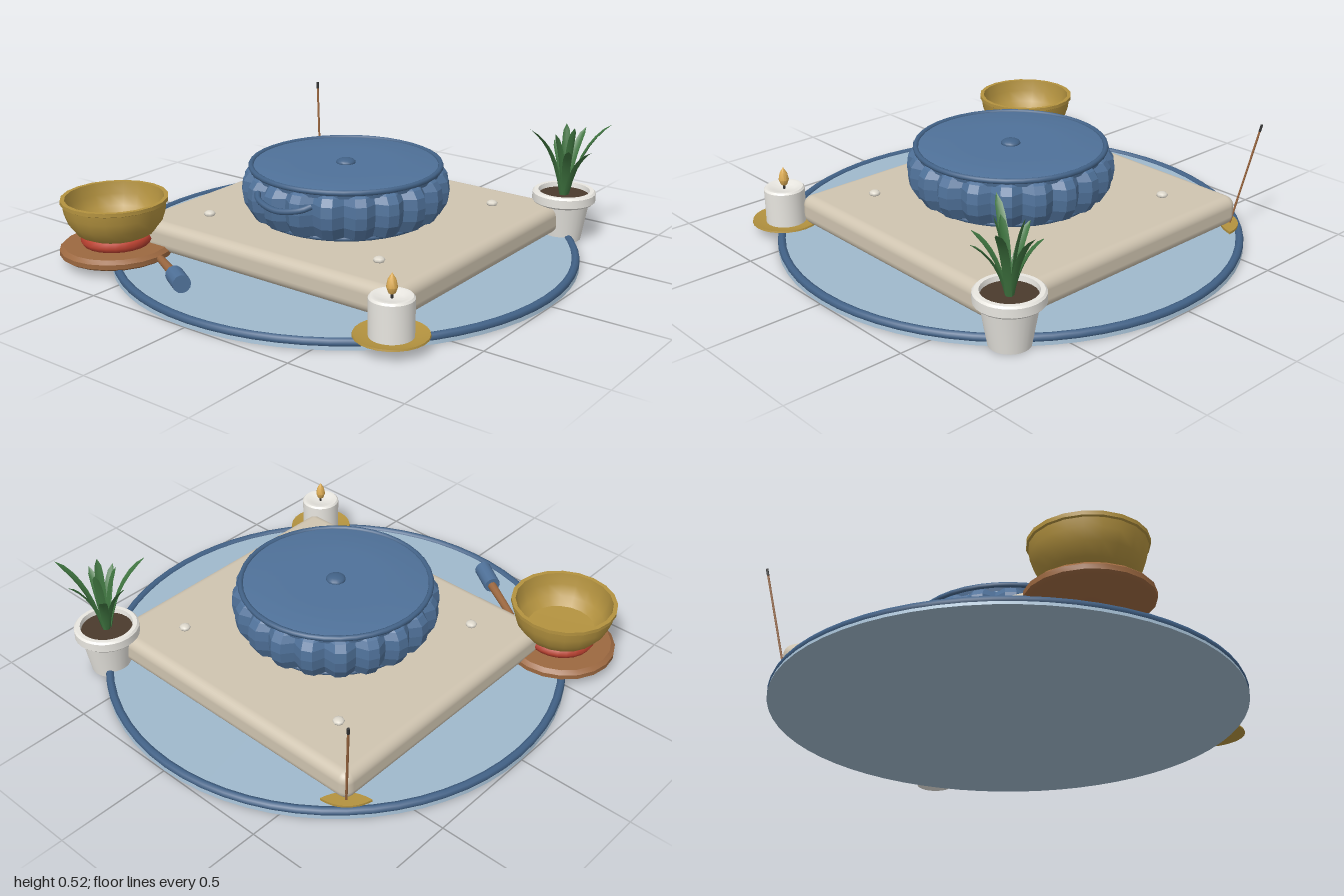
import * as THREE from 'three';
import { RoundedBoxGeometry } from 'three/addons/geometries/RoundedBoxGeometry.js';
import { toCreasedNormals } from 'three/addons/utils/BufferGeometryUtils.js';

const mat = (color, extra = {}) => new THREE.MeshStandardMaterial({ color, ...extra });
const M = {
  rug: mat(0x9fb8cc), blue: mat(0x4f7199), trim: mat(0x426287),
  pleat: mat(0x4f7199, { flatShading: true }),
  beige: mat(0xcfc4b0), gold: mat(0xb3923f), red: mat(0xb8402f), wood: mat(0x9c6840),
  white: mat(0xe8e6e0), flame: mat(0xdfae55), soil: mat(0x4a3a2c), dark: mat(0x333333),
  leaf: mat(0x3f7540, { side: THREE.DoubleSide }), button: mat(0xddd8cc),
};

function add(parent, name, geometry, material, x = 0, y = 0, z = 0) {
  const mesh = new THREE.Mesh(geometry, material);
  mesh.name = name;
  mesh.position.set(x, y, z);
  parent.add(mesh);
  return mesh;
}

function group(parent, name, x, z) {
  const g = new THREE.Group();
  g.name = name;
  g.position.set(x, 0, z);
  parent.add(g);
  return g;
}

// Turned shape from [radius, height] pairs listed bottom to top along the outside
function turned(points, sides = 32) {
  const g = new THREE.LatheGeometry(points.map(([r, y]) => new THREE.Vector2(r, y)), sides);
  return toCreasedNormals(g, 0.6);
}

// Cylinder between two points
function rod(parent, name, a, b, r1, r2, material, sides = 10) {
  const from = new THREE.Vector3(...a), dir = new THREE.Vector3(...b).sub(from);
  const mesh = add(parent, name, new THREE.CylinderGeometry(r2, r1, dir.length(), sides), material);
  mesh.position.copy(from).addScaledVector(dir, 0.5);
  mesh.quaternion.setFromUnitVectors(new THREE.Vector3(0, 1, 0), dir.normalize());
  return mesh;
}

function ring(parent, name, r, tube, material, y, sides = 48) {
  const mesh = add(parent, name, new THREE.TorusGeometry(r, tube, 8, sides), material, 0, y, 0);
  mesh.rotation.x = Math.PI / 2;
  return mesh;
}

// Arching blade with a V-shaped cross-section, from the origin to the tip
function bladeGeometry(tx, ty, tz, width) {
  const curve = new THREE.QuadraticBezierCurve3(
    new THREE.Vector3(tx * 0.08, 0, tz * 0.08),
    new THREE.Vector3(tx * 0.3, ty * 0.75, tz * 0.3),
    new THREE.Vector3(tx, ty, tz));
  const side = new THREE.Vector3(-tz, 0, tx).normalize();
  const out = new THREE.Vector3(tx, -0.02, tz).normalize();
  const pos = [], index = [], steps = 7;
  for (let i = 0; i <= steps; i++) {
    const t = i / steps, p = curve.getPoint(t);
    const w = width * (0.45 + 1.1 * t) * Math.sqrt(1 - t);
    for (const s of [-1, 0, 1]) {
      const v = p.clone().addScaledVector(side, s * w).addScaledVector(out, s ? 0 : w * 0.45);
      pos.push(v.x, v.y, v.z);
    }
    if (i < steps) for (let k = 0; k < 2; k++) {
      const a = i * 3 + k;
      index.push(a, a + 1, a + 3, a + 1, a + 4, a + 3);
    }
  }
  const g = new THREE.BufferGeometry();
  g.setAttribute('position', new THREE.Float32BufferAttribute(pos, 3));
  g.setIndex(index);
  g.computeVertexNormals();
  return g;
}

function addCushion(parent) {
  const c = group(parent, 'cushion', 0, 0);
  // Pleated body: every third column is pulled inwards
  const profile = [[0, 0.178], [0.35, 0.18], [0.405, 0.2], [0.435, 0.25], [0.442, 0.3],
    [0.436, 0.345], [0.415, 0.375], [0.385, 0.392]].map(([r, y]) => new THREE.Vector2(r, y));
  const body = new THREE.LatheGeometry(profile, 60);
  const p = body.attributes.position;
  for (let i = 0; i < p.count; i++) {
    const column = Math.floor(i / profile.length);
    const k = column % 3 === 0 ? 0.92 : 1;
    p.setX(i, p.getX(i) * k);
    p.setZ(i, p.getZ(i) * k);
  }
  add(c, 'pleatedBody', body, M.pleat);
  add(c, 'cushionTop', turned([[0.4, 0.37], [0.405, 0.395], [0.38, 0.402], [0.2, 0.405], [0, 0.4]], 40), M.blue);
  ring(c, 'topPiping', 0.402, 0.012, M.trim, 0.396, 40);
  ring(c, 'bottomPiping', 0.365, 0.01, M.trim, 0.19, 40);
  add(c, 'centreButton', new THREE.SphereGeometry(0.042, 16, 10), M.trim, 0, 0.403, 0).scale.y = 0.45;
  // Sagging carry handle on the front
  const path = new THREE.CatmullRomCurve3([[-0.14, 0.345, 0.41], [-0.11, 0.33, 0.44], [0, 0.312, 0.462],
    [0.11, 0.33, 0.44], [0.14, 0.345, 0.41]].map(v => new THREE.Vector3(...v)));
  const handle = add(c, 'carryHandle', new THREE.TubeGeometry(path, 20, 0.013, 8), M.trim);
  handle.scale.y = 1.0;
}

function addBowl(parent) {
  const b = group(parent, 'singingBowl', -0.715, 0.665);
  add(b, 'woodenBase', turned([[0, 0.035], [0.225, 0.035], [0.24, 0.045], [0.24, 0.065], [0.222, 0.08], [0, 0.08]], 20), M.wood);
  const pad = ring(b, 'redPad', 0.115, 0.036, M.red, 0.1, 24);
  pad.scale.z = 0.75;
  add(b, 'bowl', turned([[0, 0.118], [0.13, 0.118], [0.165, 0.135], [0.198, 0.18], [0.213, 0.225], [0.218, 0.262],
    [0.226, 0.266], [0.226, 0.282], [0.208, 0.282], [0.2, 0.23], [0.18, 0.18], [0.145, 0.148], [0, 0.142]], 20), M.gold);
}

function addPlant(parent) {
  const g = group(parent, 'pottedPlant', 0.665, -0.715);
  add(g, 'pot', turned([[0, 0.002], [0.083, 0.002], [0.112, 0.172], [0.13, 0.172], [0.138, 0.18], [0.138, 0.216],
    [0.13, 0.224], [0.112, 0.224], [0.108, 0.195]], 28), M.white);
  add(g, 'soil', new THREE.CylinderGeometry(0.11, 0.11, 0.015, 24), M.soil, 0, 0.195, 0);
  // Tip offset x, height above soil, offset z
  const tips = [[0.16, 0.325, -0.105], [0.015, 0.28, -0.15], [-0.1, 0.22, -0.075], [-0.125, 0.25, 0.025],
    [-0.09, 0.322, 0.17], [0.075, 0.24, 0.125], [0.145, 0.23, 0.05], [-0.03, 0.31, -0.05],
    [0.05, 0.32, 0.03], [-0.02, 0.29, 0.07]];
  tips.forEach(([x, y, z]) => add(g, 'leaf', bladeGeometry(x, y, z, 0.026), M.leaf, 0, 0.2, 0));
}

function addCandle(parent) {
  const g = group(parent, 'candle', 0.71, 0.665);
  add(g, 'candlePlate', turned([[0, 0.03], [0.11, 0.03], [0.145, 0.045], [0.143, 0.052], [0.105, 0.043], [0, 0.043]], 24), M.gold);
  add(g, 'wax', turned([[0.086, 0.04], [0.087, 0.192], [0.08, 0.2], [0.066, 0.2], [0.045, 0.19], [0, 0.188]], 28), M.white);
  rod(g, 'wick', [0, 0.185, 0], [0, 0.22, 0], 0.005, 0.005, M.dark, 6);
  add(g, 'flame', turned([[0, 0.2], [0.014, 0.21], [0.022, 0.232], [0.016, 0.262], [0, 0.288]], 12), M.flame);
}

function addIncense(parent) {
  const g = group(parent, 'incense', -0.665, -0.668);
  // Leaf-shaped dish
  const s = new THREE.Shape();
  s.moveTo(-0.1, 0);
  s.quadraticCurveTo(0, 0.075, 0.1, 0);
  s.quadraticCurveTo(0, -0.075, -0.1, 0);
  const geo = new THREE.ExtrudeGeometry(s, { depth: 0.01, bevelEnabled: false, curveSegments: 8 });
  geo.rotateX(-Math.PI / 2);
  geo.rotateY(0.7);
  add(g, 'incenseDish', geo, M.gold, 0, 0.04, 0);
  rod(g, 'incenseStick', [0, 0.04, 0], [-0.07, 0.47, -0.07], 0.005, 0.005, M.wood, 6);
  rod(g, 'stickTip', [-0.07, 0.47, -0.07], [-0.075, 0.5, -0.075], 0.006, 0.006, M.dark, 6);
}

export function createModel() {
  const root = new THREE.Group();
  root.name = 'meditationSet';

  // Round rug with a raised border
  add(root, 'rug', new THREE.CylinderGeometry(0.99, 0.998, 0.03, 64), M.rug, 0, 0.015, 0);
  ring(root, 'rugBorder', 0.98, 0.018, M.trim, 0.024, 64);

  // Square floor mat with four tufting buttons
  add(root, 'floorMat', new RoundedBoxGeometry(1.37, 0.13, 1.28, 4, 0.045), M.beige, 0, 0.11, -0.05);
  for (const x of [-0.445, 0.445]) for (const z of [-0.47, 0.375])
    add(root, 'matButton', new THREE.SphereGeometry(0.025, 8, 6), M.button, x, 0.182, z).scale.y = 0.55;

  addCushion(root);
  addBowl(root);
  addPlant(root);
  addCandle(root);
  addIncense(root);

  // Mallet lying on the rug
  const mallet = group(root, 'mallet', 0, 0);
  rod(mallet, 'malletHandle', [-0.45, 0.066, 0.672], [-0.25, 0.08, 0.79], 0.016, 0.02, M.wood);
  rod(mallet, 'malletHead', [-0.26, 0.081, 0.785], [-0.15, 0.089, 0.855], 0.037, 0.037, M.blue, 12);
  return root;
}
